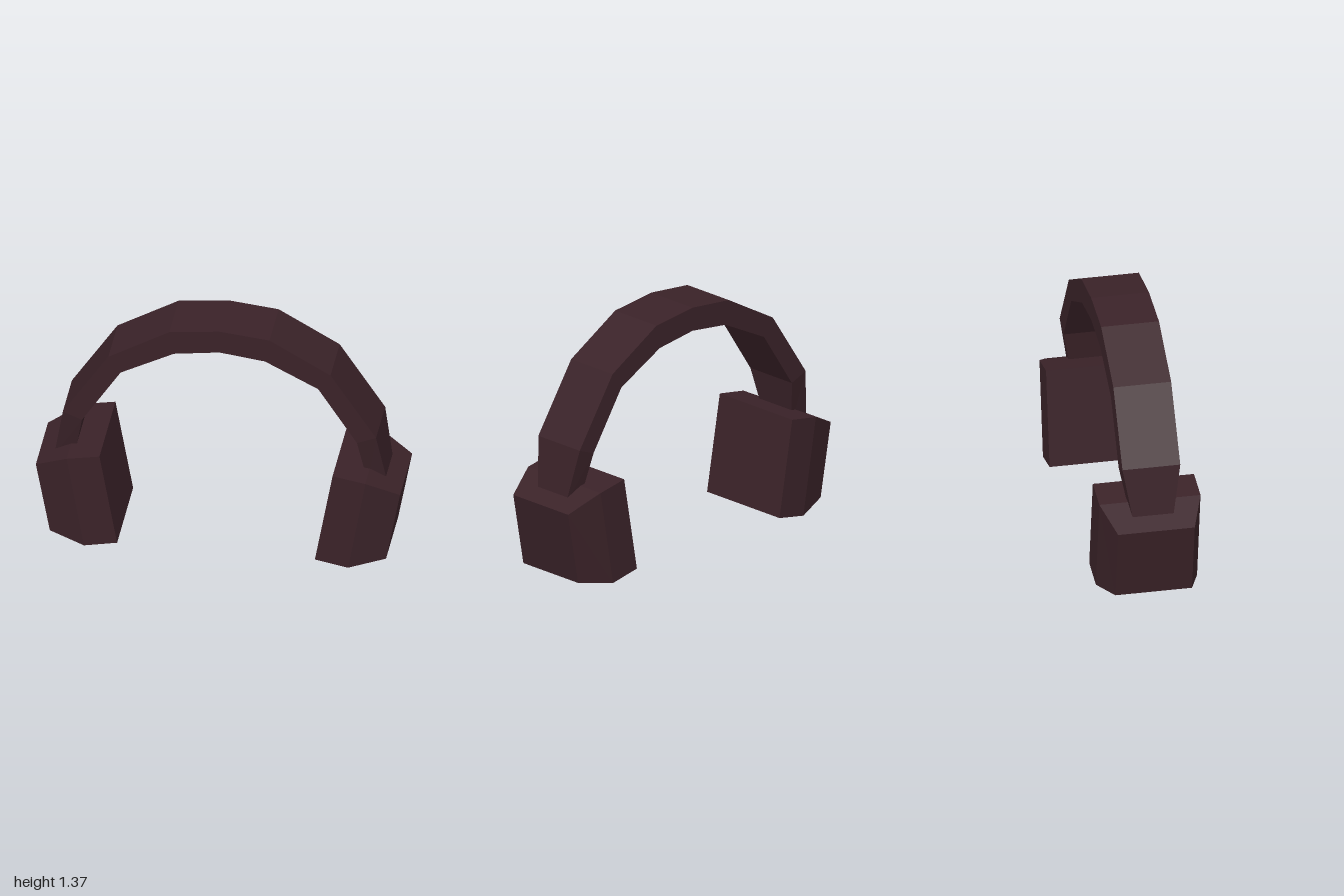
import * as THREE from 'three';

const material = new THREE.MeshStandardMaterial({ color: 0x3a2228, flatShading: true });

// Each station is [topX, topY, bottomX, bottomY, halfDepth]; stations run from -x to +x.
function loft(name, stations) {
  const rings = stations.map(([tx, ty, bx, by, d]) => [
    [tx, ty, -d], [tx, ty, d], [bx, by, d], [bx, by, -d],
  ]);
  const positions = [];
  const quad = (a, b, c, d) => positions.push(...a, ...b, ...c, ...a, ...c, ...d);
  for (let i = 0; i < rings.length - 1; i++) {
    const p = rings[i], q = rings[i + 1];
    for (let j = 0; j < 4; j++) {
      const k = (j + 1) % 4;
      quad(p[j], p[k], q[k], q[j]);
    }
  }
  // End caps
  const first = rings[0], last = rings[rings.length - 1];
  quad(first[3], first[2], first[1], first[0]);
  quad(...last);
  const geometry = new THREE.BufferGeometry();
  geometry.setAttribute('position', new THREE.Float32BufferAttribute(positions, 3));
  geometry.computeVertexNormals();
  const mesh = new THREE.Mesh(geometry, material);
  mesh.name = name;
  return mesh;
}

const mirror = (stations) =>
  stations.map(([tx, ty, bx, by, d]) => [-tx, ty, -bx, by, d]).reverse();

export function createModel() {
  const group = new THREE.Group();
  group.name = 'headphones';

  // Headband: half an arch from the crown down into the cup, narrowing at the end
  const halfBand = [
    [0.275, 1.342, 0.25, 1.205, 0.16],
    [0.61, 1.15, 0.543, 1.055, 0.16],
    [0.86, 0.772, 0.755, 0.73, 0.16],
    [0.915, 0.46, 0.805, 0.46, 0.107],
  ];
  const crown = [0, 1.372, 0, 1.238, 0.16];
  group.add(loft('headband', [...mirror(halfBand), crown, ...halfBand]));

  // Ear cups: tilted boxes with a tapered outer side
  const cup = [
    [0.64, 0.58, 0.543, 0.035, 0.28],
    [0.82, 0.548, 0.725, 0, 0.28],
    [1, 0.452, 0.923, 0.035, 0.212],
  ];
  group.add(loft('leftEarCup', cup), loft('rightEarCup', mirror(cup)));

  return group;
}
